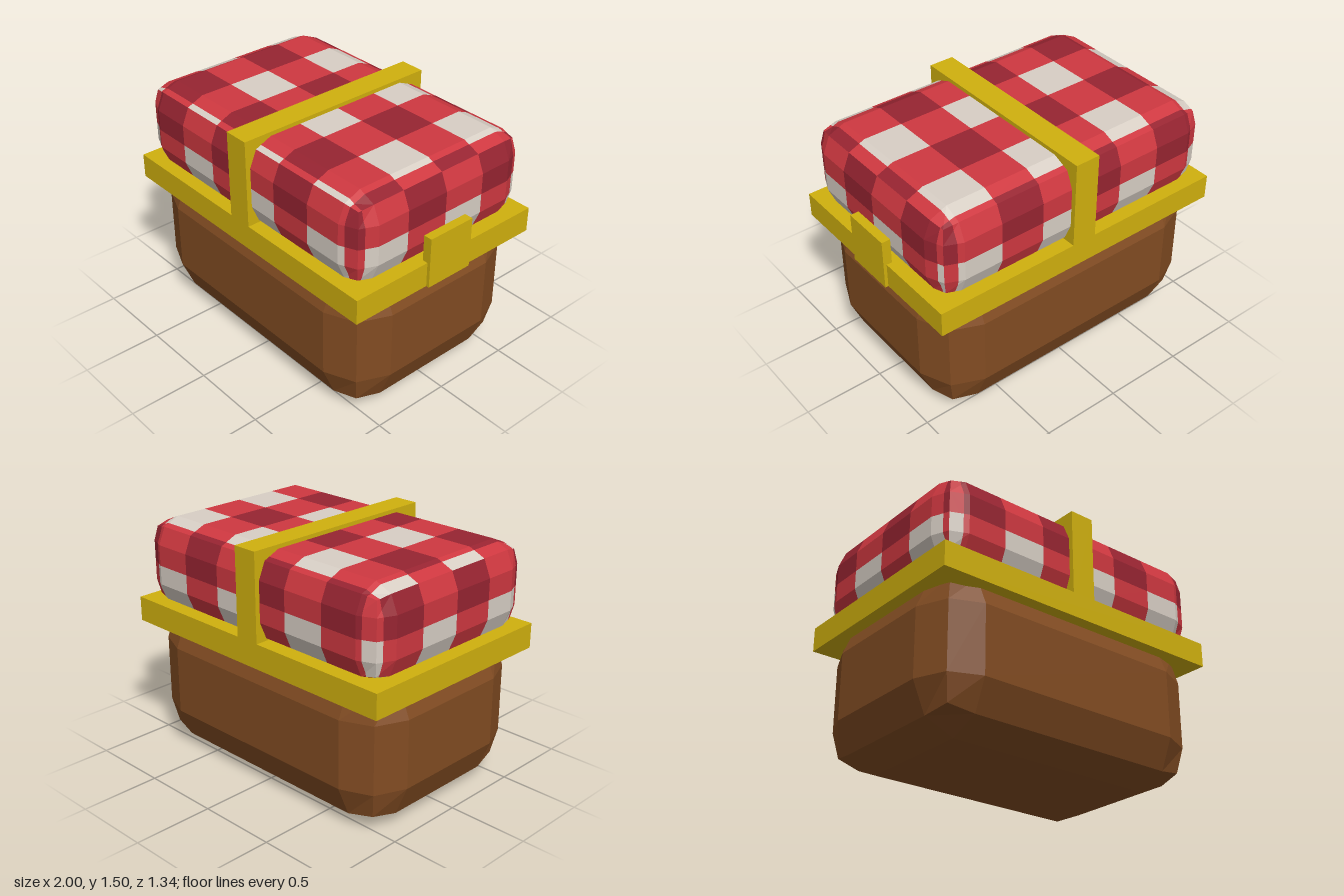
import * as THREE from 'three';

const mat = (name, color) => Object.assign(new THREE.MeshStandardMaterial({ color }), { name });

// Box whose 3x3 face panels bulge: flat centres, pulled-in edges and corners
function puffyBox([hx, hy, hz], inner, edge, corner) {
  const geo = new THREE.BoxGeometry(2, 2, 2, 3, 3, 3);
  const half = [hx, hy, hz];
  const pos = geo.attributes.position;
  for (let n = 0; n < pos.count; n++) {
    const p = [pos.getX(n), pos.getY(n), pos.getZ(n)];
    const outer = p.filter((v) => Math.abs(v) > 0.9).length;
    const inset = [0, 0, edge, corner][outer];
    const q = p.map((v, a) => Math.sign(v) * (half[a] - (Math.abs(v) > 0.9 ? inset : inner)));
    pos.setXYZ(n, ...q);
  }
  return geo;
}

// Cut a convex polygon at the value c on one axis; side is +1 or -1
function clip(poly, axis, c, side) {
  const out = [];
  poly.forEach((a, n) => {
    const b = poly[(n + 1) % poly.length];
    const da = (a[axis] - c) * side;
    const db = (b[axis] - c) * side;
    if (da >= 0) out.push(a);
    if (da * db < 0) out.push(a.map((v, k) => v + ((b[k] - v) * da) / (da - db)));
  });
  return out;
}

// Cut a polygon into strips along an axis and pass on each piece with its strip number
function strips(poly, axis, origin, step, emit) {
  for (let n = -5; n < 5; n++) {
    let piece = clip(poly, axis, origin + n * step, 1);
    if (piece.length > 2) piece = clip(piece, axis, origin + (n + 1) * step, -1);
    if (piece.length > 2) emit(piece, n);
  }
}

export function createModel() {
  const model = new THREE.Group();
  model.name = 'picnicBasket';
  const brown = mat('brown', 0x824c22);
  const gold = mat('gold', 0xd0b00e);
  const checks = [mat('cream', 0xd8cfc5), mat('red', 0xcf3840), mat('darkRed', 0x972431)];
  const cx = -0.012;

  const add = (name, geo, material, x, y, z, parent = model) => {
    const mesh = new THREE.Mesh(geo, material);
    mesh.name = name;
    mesh.position.set(x, y, z);
    parent.add(mesh);
  };

  // Basket body
  const body = puffyBox([0.957, 0.48, 0.64], 0.268, 0.08, 0.11).toNonIndexed();
  body.computeVertexNormals();
  add('basketBody', body, brown, cx, 0.48, 0);

  // Rim, strap over the top and clasp on the left side
  add('rim', new THREE.BoxGeometry(1.98, 0.155, 1.34), gold, -0.01, 0.8825, 0);
  add('strap', new THREE.BoxGeometry(0.16, 0.6, 1.34), gold, -0.01, 1.205, 0);
  add('clasp', new THREE.BoxGeometry(0.055, 0.317, 0.316), gold, 0.9725, 0.9635, 0);

  // Gingham cloth bundle: every face is cut along the check lines
  const cloth = new THREE.Group();
  cloth.name = 'ginghamCloth';
  cloth.position.set(cx, 1.205, 0);
  model.add(cloth);
  const puff = puffyBox([0.957, 0.275, 0.64], 0.15, 0.045, 0.062);
  const pos = puff.attributes.position;
  const buckets = [[], [], []];
  const origins = [-0.01 - cx, 0.275 - 0.28, 0];
  puff.groups.forEach((g, face) => {
    const normalAxis = face >> 1;
    const [u, v] = [0, 1, 2].filter((a) => a !== normalAxis);
    for (let n = g.start; n < g.start + g.count; n += 3) {
      const tri = [0, 1, 2].map((k) => {
        const id = puff.index.getX(n + k);
        return [pos.getX(id), pos.getY(id), pos.getZ(id)];
      });
      strips(tri, u, origins[u], 0.28, (strip, i) => strips(strip, v, origins[v], 0.28, (poly, j) => {
        // Rows above the middle are dark; the end faces shift by one check
        const row = u === 1 ? i : j;
        const column = u === 1 ? j + 1 : i;
        const odd = (Math.abs(row) % 2) + (Math.abs(column) % 2);
        const shifted = normalAxis === 1 ? odd : (row >= 0 ? 1 : 0) + (Math.abs(column) % 2);
        for (let k = 1; k < poly.length - 1; k++) buckets[shifted].push(...poly[0], ...poly[k], ...poly[k + 1]);
      }));
    }
  });
  buckets.forEach((points, n) => {
    const geo = new THREE.BufferGeometry();
    geo.setAttribute('position', new THREE.Float32BufferAttribute(points, 3));
    geo.computeVertexNormals();
    add(['creamChecks', 'redChecks', 'darkRedChecks'][n], geo, checks[n], 0, 0, 0, cloth);
  });

  return model;
}
